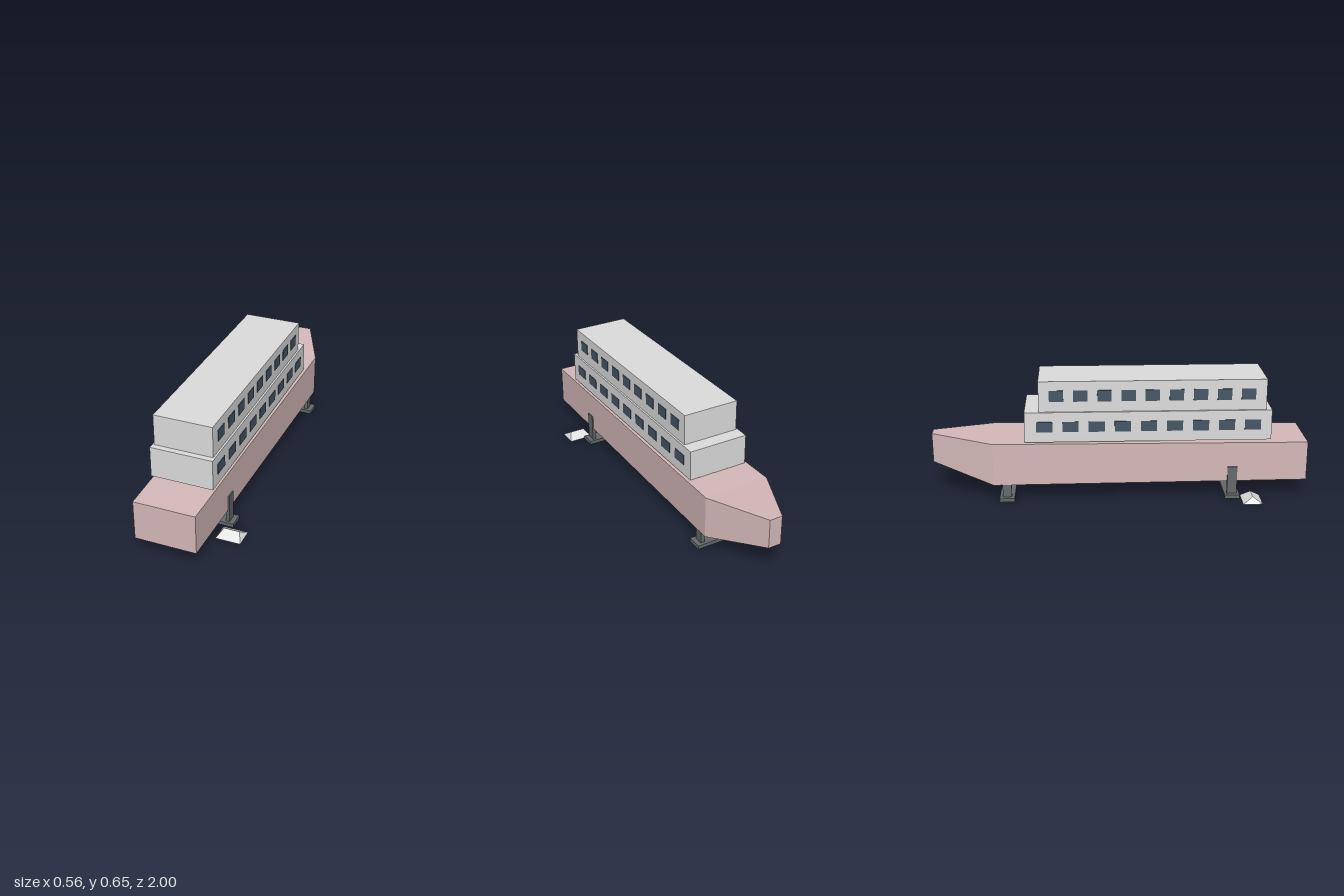
import * as THREE from 'three';

function paint(name, color) {
  const m = new THREE.MeshStandardMaterial({ color, flatShading: true });
  m.name = name;
  return m;
}

// Flat-faced solid through four-cornered rings, capped at both ends
function loft(rings) {
  const pos = [];
  const tri = (...pts) => pts.forEach((p) => pos.push(...p));
  const quad = (a, b, c, d) => { tri(a, b, c); tri(a, c, d); };
  for (let r = 0; r < rings.length - 1; r++) {
    const a = rings[r], b = rings[r + 1];
    for (let i = 0; i < 4; i++) {
      const j = (i + 1) % 4;
      quad(a[i], a[j], b[j], b[i]);
    }
  }
  quad(...[...rings[0]].reverse());
  quad(...rings[rings.length - 1]);
  const g = new THREE.BufferGeometry();
  g.setAttribute('position', new THREE.Float32BufferAttribute(pos, 3));
  g.computeVertexNormals();
  return g;
}

export function createModel() {
  const model = new THREE.Group();
  model.name = 'riverBoat';
  const hullPink = paint('hullPink', 0xd6baba);
  const cabinGrey = paint('cabinGrey', 0xdedede);
  const windowBlue = paint('windowBlue', 0x465666);
  const standGrey = paint('standGrey', 0x646a6c);

  const add = (name, geometry, material, parent = model) => {
    const mesh = new THREE.Mesh(geometry, material);
    mesh.name = name;
    parent.add(mesh);
    return mesh;
  };
  // Box given by its limits on each axis
  const box = (name, [x0, x1], [y0, y1], [z0, z1], material, parent) => {
    const mesh = add(name, new THREE.BoxGeometry(x1 - x0, y1 - y0, z1 - z0), material, parent);
    mesh.position.set((x0 + x1) / 2, (y0 + y1) / 2, (z0 + z1) / 2);
    return mesh;
  };

  // Hull: stern, shoulder and raised bow sections
  const section = (z, w, bottom, top) =>
    [[w, bottom, z], [-w, bottom, z], [-w, top, z], [w, top, z]];
  add('hull', loft([
    section(1, 0.161, 0.09, 0.302),
    section(-0.67, 0.18, 0.09, 0.32),
    section(-1, 0.035, 0.175, 0.335),
  ]), hullPink);

  // Two cabin decks, each with a row of nine windows per side
  const decks = [
    { name: 'lowerDeck', w: 0.163, y: [0.322, 0.485], z: [-0.5, 0.8],
      first: 0.70, step: 0.137, size: 0.085, wy: [0.378, 0.434] },
    { name: 'upperDeck', w: 0.153, y: [0.485, 0.65], z: [-0.425, 0.77],
      first: 0.674, step: 0.1257, size: 0.075, wy: [0.541, 0.601] },
  ];
  for (const d of decks) {
    const deck = new THREE.Group();
    deck.name = d.name;
    model.add(deck);
    box(d.name + 'Cabin', [-d.w, d.w], d.y, d.z, cabinGrey, deck);
    for (const side of [-1, 1]) {
      for (let i = 0; i < 9; i++) {
        const z = d.first - i * d.step;
        const x = side * d.w;
        box('window', [x - 0.003, x + 0.003], d.wy, [z - d.size / 2, z + d.size / 2], windowBlue, deck);
      }
    }
  }

  // Cradle stands: a cross beam with a post at each end
  for (const [z, half] of [[0.6, 0.026], [-0.6, 0.024]]) {
    const stand = new THREE.Group();
    stand.name = 'stand';
    model.add(stand);
    box('standBeam', [-0.198, 0.198], [0, 0.02], [z - 0.04, z + 0.04], standGrey, stand);
    for (const s of [-1, 1]) {
      box('standPost', [s * 0.1625 - 0.01, s * 0.1625 + 0.01], [0.02, 0.172],
        [z - half, z + half], standGrey, stand);
    }
  }

  // Ridged ground blocks beside the stern stand
  const block = loft([
    [[-0.066, 0, 0.052], [0.066, 0, 0.052], [0.066, 0, -0.052], [-0.066, 0, -0.052]],
    [[-0.041, 0.033, 0], [0.041, 0.033, 0], [0.041, 0.033, 0], [-0.041, 0.033, 0]],
  ]);
  for (const s of [-1, 1]) {
    add(s > 0 ? 'leftBlock' : 'rightBlock', block, cabinGrey).position.set(s * 0.215, 0, 0.7);
  }
  return model;
}
